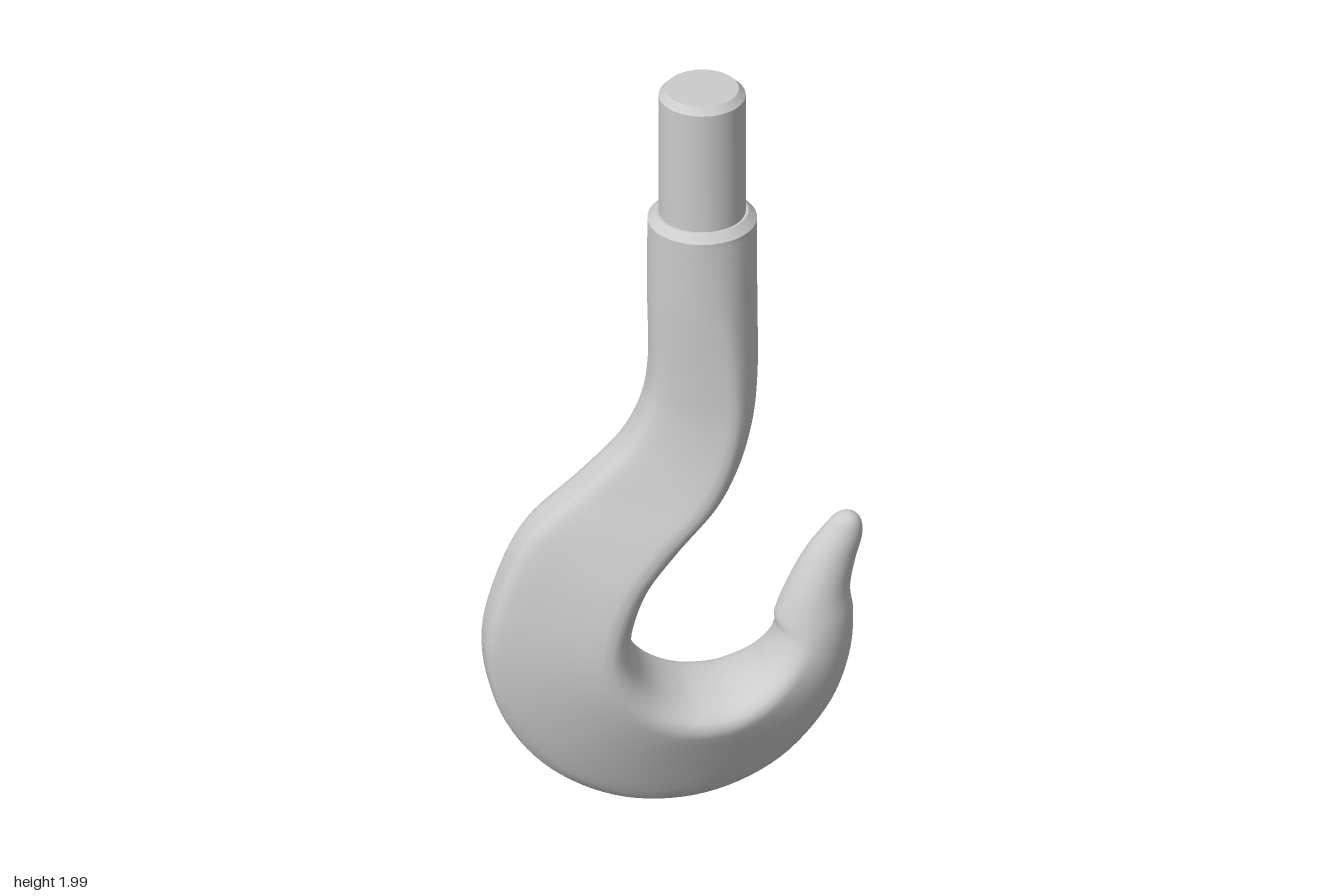
import * as THREE from 'three';
import { toCreasedNormals } from 'three/addons/utils/BufferGeometryUtils.js';

const HALF = 28;   // points along half a cross-section
const ROWS = 150;  // cross-sections along the hook

// Half of the forged section: u runs from the narrow outer edge to the wide inner edge, v is the half width
const forged = new THREE.SplineCurve([
  [0, 0], [0.002, 0.2], [0.02, 0.32], [0.07, 0.4], [0.4, 0.67], [0.73, 0.94],
  [0.82, 1], [0.89, 0.93], [0.95, 0.75], [0.985, 0.45], [1, 0],
].map(([u, v]) => new THREE.Vector2(u, v))).getSpacedPoints(HALF);

// Half section blended from round (s = 0) to forged (s = 1), scaled to full width
function section(s) {
  const pts = forged.map((p, j) => {
    const a = (Math.PI * j) / HALF;
    const round = new THREE.Vector2((1 - Math.cos(a)) / 2, Math.sin(a));
    return round.lerp(p, s);
  });
  const top = Math.max(...pts.map((p) => p.y));
  pts.forEach((p) => { p.y /= top; });
  return pts;
}

// Stations: outer x, y, inner x, y, half width, section blend
function hookStations() {
  const list = [
    [-0.065, 1.62, 0.205, 1.62, 0.135, 0],
    [-0.065, 1.42, 0.205, 1.42, 0.14, 0.2],
    [-0.063, 1.22, 0.205, 1.2, 0.147, 0.5],
    [-0.077, 1.125, 0.192, 1.08, 0.15, 0.7],
    [-0.125, 1.02, 0.16, 0.97, 0.153, 0.85],
    [-0.23, 0.91, 0.1, 0.86, 0.157, 1],
    [-0.365, 0.785, 0, 0.74, 0.161, 1],
    [-0.43, 0.66, -0.075, 0.635, 0.165, 1],
  ];
  // bowl: two eccentric circles
  const bowl = [[180, 0.167, 1], [205, 0.167, 1], [230, 0.166, 1], [255, 0.164, 1], [280, 0.158, 0.95],
    [305, 0.145, 0.8], [330, 0.12, 0.5], [348, 0.102, 0.2], [362, 0.091, 0]];
  for (const [deg, w, s] of bowl) {
    const a = THREE.MathUtils.degToRad(deg), c = Math.cos(a), n = Math.sin(a);
    list.push([-0.015 + 0.46 * c, 0.465 + 0.46 * n, 0.07 + 0.185 * c, 0.49 + 0.185 * n, w, s]);
  }
  // tapered, rounded point
  list.push(
    [0.437, 0.55, 0.287, 0.575, 0.077, 0],
    [0.451, 0.63, 0.329, 0.655, 0.06, 0],
    [0.468, 0.695, 0.378, 0.72, 0.045, 0],
    [0.466, 0.728, 0.4, 0.744, 0.034, 0],
    [0.456, 0.745, 0.418, 0.753, 0.02, 0],
    [0.438, 0.756, 0.438, 0.756, 0, 0],
  );
  return list;
}

function hookGeometry() {
  const st = hookStations();
  const outer = new THREE.CatmullRomCurve3(st.map((a) => new THREE.Vector3(a[0], a[1], a[4])));
  const inner = new THREE.CatmullRomCurve3(st.map((a) => new THREE.Vector3(a[2], a[3], a[5])));
  const ring = HALF * 2, pos = [], idx = [];
  for (let i = 0; i <= ROWS; i++) {
    const o = outer.getPoint(i / ROWS), n = inner.getPoint(i / ROWS);
    const half = section(THREE.MathUtils.clamp(n.z, 0, 1));
    for (let j = 0; j < ring; j++) {
      const p = half[j <= HALF ? j : ring - j];
      const z = (j <= HALF ? 1 : -1) * p.y * Math.max(o.z, 0);
      pos.push(o.x + (n.x - o.x) * p.x, o.y + (n.y - o.y) * p.x, z);
      if (i === ROWS) continue;
      const a = i * ring + j, b = i * ring + ((j + 1) % ring);
      idx.push(a, a + ring, b, b, a + ring, b + ring);
    }
  }
  const g = new THREE.BufferGeometry();
  g.setAttribute('position', new THREE.Float32BufferAttribute(pos, 3));
  g.setIndex(idx);
  g.computeVertexNormals();
  return g;
}

// Turned part with sharp profile corners
function turned(profile) {
  const g = new THREE.LatheGeometry(profile.map(([r, y]) => new THREE.Vector2(r, y)), 64);
  return toCreasedNormals(g, 0.4);
}

export function createModel() {
  const model = new THREE.Group();
  const steel = new THREE.MeshStandardMaterial({ color: 0xcccccc });
  const add = (name, geometry, x = 0) => {
    const mesh = new THREE.Mesh(geometry, steel);
    mesh.name = name;
    mesh.position.x = x;
    model.add(mesh);
  };
  add('hookBody', hookGeometry());
  // chamfered shoulder under the shank
  add('shoulder', turned([[0.135, 1.62], [0.135, 1.632], [0.114, 1.652], [0, 1.652]]), 0.07);
  // plain round shank with a chamfered end
  add('shank', turned([[0.107, 1.63], [0.107, 1.982], [0.09, 2], [0, 2]]), 0.07);
  return model;
}
